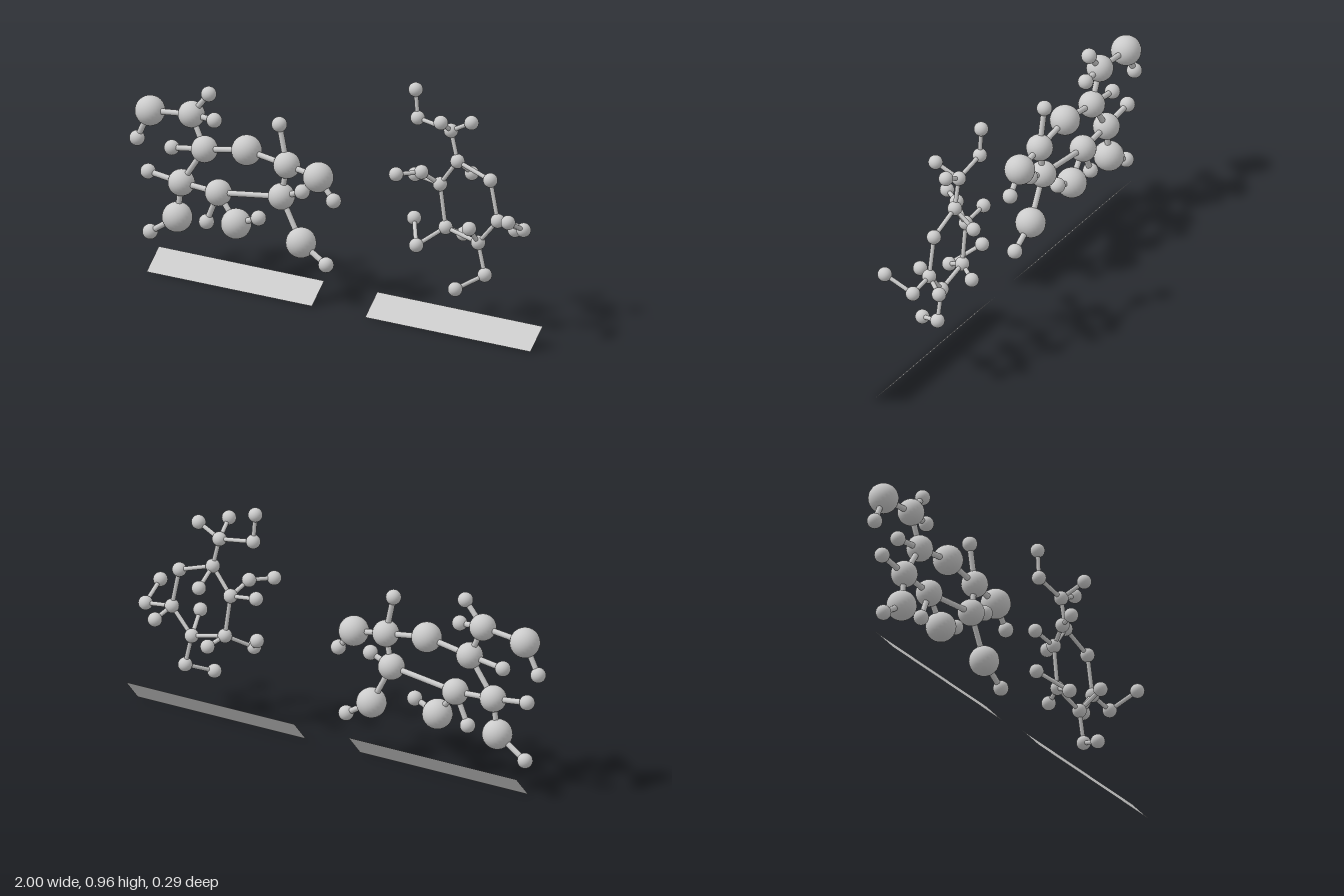
import * as THREE from 'three';

const material = new THREE.MeshStandardMaterial({ color: 0xcccccc });
const panelMaterial = new THREE.MeshStandardMaterial({ color: 0xcccccc, side: THREE.DoubleSide });
const UP = new THREE.Vector3(0, 1, 0);

// Flat ball-and-stick molecule: name: [x, y, z]; the first letter gives the element
const FLAT_Z = 0.043;
const flatAtoms = {
  C1: [-0.70, 0.67], C2: [-0.636, 0.538], C3: [-0.75, 0.382],
  C4: [-0.567, 0.372], C5: [-0.257, 0.41], C6: [-0.23, 0.543],
  O1: [-0.904, 0.65], O2: [-0.428, 0.57], O3: [-0.075, 0.52],
  O4: [-0.77, 0.238], O5: [-0.48, 0.26], O6: [-0.16, 0.238],
  H1: [-0.968, 0.527], H2: [-0.615, 0.767], H3: [-0.588, 0.664], H4: [-0.797, 0.517],
  H5: [-0.914, 0.4], H6: [-0.904, 0.155], H7: [-0.626, 0.243], H8: [-0.37, 0.302],
  H9: [-0.155, 0.447], H10: [-0.037, 0.168], H11: [0, 0.436], H12: [-0.267, 0.703],
};
const flatBonds = 'C1-O1 O1-H1 C1-H2 C1-H3 C1-C2 C2-H4 C2-O2 C2-C3 C3-H5 C3-O4 O4-H6 C3-C4 '
  + 'C4-H7 C4-O5 O5-H8 C4-C5 C5-H9 C5-O6 O6-H10 C5-C6 C6-H12 C6-O3 O3-H11 C6-O2';

// Spatial molecule with small equal joints
const RING_Z = -0.03;
const spatialAtoms = {
  a: [0.35, 0.936], b: [0.36, 0.822], c: [0.524, 0.798], d: [0.545, 0.855, 0.064],
  e: [0.625, 0.847], f: [0.556, 0.678], g: [0.718, 0.628], h: [0.56, 0.61, -0.118],
  i: [0.364, 0.625, 0.117], j: [0.428, 0.627, 0.036], k: [0.342, 0.587, -0.036], l: [0.47, 0.57],
  m: [0.497, 0.398], n: [0.342, 0.41], o: [0.428, 0.335, 0.07], p: [0.535, 0.363, -0.095],
  q: [0.658, 0.363], r: [0.678, 0.443, 0.056], s: [0.754, 0.468], t: [0.79, 0.422, -0.095],
  u: [0.882, 0.453], v: [0.896, 0.513, 0.09], w: [0.69, 0.236], x: [0.625, 0.191, 0.077],
};
const spatialBonds = 'a-b b-c c-d c-e c-f f-h f-g f-l l-j j-i l-k l-m m-o o-n m-p m-q '
  + 'q-r q-w w-x q-s s-t s-u u-v s-g';

function buildMolecule(name, atoms, bonds, defaultZ, radiusOf, bondRadius) {
  const group = new THREE.Group();
  group.name = name;
  const at = {};
  for (const [key, [x, y, z = defaultZ]] of Object.entries(atoms)) {
    at[key] = new THREE.Vector3(x, y, z);
    const atom = new THREE.Mesh(new THREE.SphereGeometry(radiusOf(key), 24, 16), material);
    atom.name = 'atom';
    atom.position.copy(at[key]);
    group.add(atom);
  }
  for (const pair of bonds.split(' ')) {
    const [p, q] = pair.split('-').map((key) => at[key]);
    const dir = q.clone().sub(p);
    const bond = new THREE.Mesh(
      new THREE.CylinderGeometry(bondRadius, bondRadius, dir.length(), 12, 1, true), material);
    bond.name = 'bond';
    bond.position.copy(p).add(q).multiplyScalar(0.5);
    bond.quaternion.setFromUnitVectors(UP, dir.normalize());
    group.add(bond);
  }
  return group;
}

export function createModel() {
  const model = new THREE.Group();
  model.name = 'moleculePair';

  const elementRadius = { C: 0.054, O: 0.061, H: 0.031 };
  model.add(
    buildMolecule('flatMolecule', flatAtoms, flatBonds, FLAT_Z, (key) => elementRadius[key[0]], 0.012),
    buildMolecule('spatialMolecule', spatialAtoms, spatialBonds, RING_Z, () => 0.029, 0.009),
  );

  // Tilted blank panels below each molecule, leaning back
  const rise = 0.086, depth = 0.08;
  for (const [name, x] of [['leftPanel', 0.591], ['rightPanel', -0.486]]) {
    const panel = new THREE.Mesh(new THREE.PlaneGeometry(0.815, Math.hypot(rise, depth)), panelMaterial);
    panel.name = name;
    panel.position.set(x, rise / 2, depth / 2);
    panel.rotation.x = -Math.atan2(depth, rise);
    model.add(panel);
  }
  return model;
}
